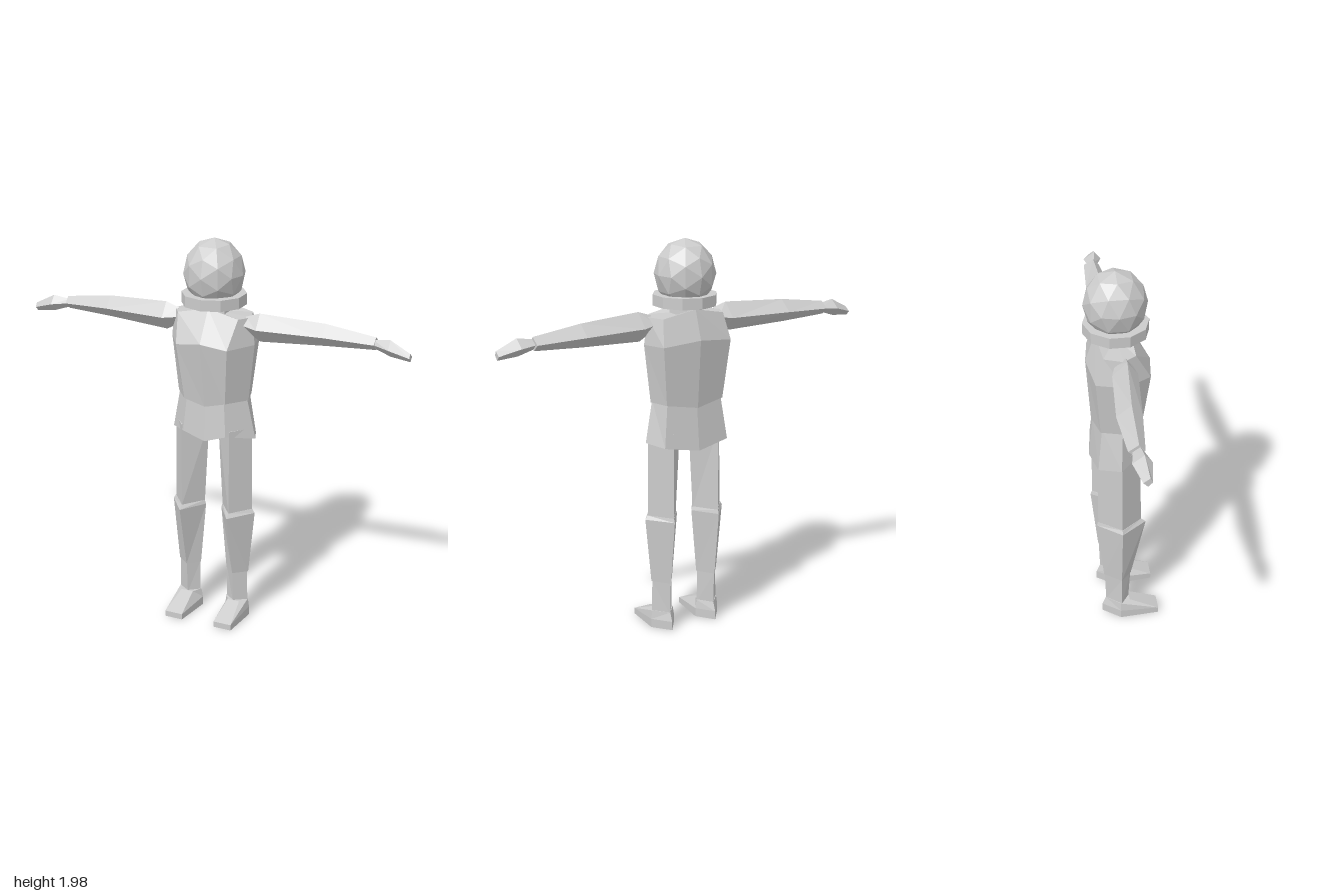
import * as THREE from 'three';

const material = new THREE.MeshStandardMaterial({ color: 0xcccccc, flatShading: true });

// Skin a list of equal-length rings and close both ends; faces always end up pointing outward.
function loft(name, rings) {
  const n = rings[0].length;
  const points = rings.flat().map((p) => new THREE.Vector3(...p));
  const tris = [];
  for (let r = 0; r < rings.length - 1; r++) {
    for (let i = 0; i < n; i++) {
      const a = r * n + i, b = r * n + (i + 1) % n;
      tris.push([a, b, b + n], [a, b + n, a + n]);
    }
  }
  [0, rings.length - 1].forEach((r, end) => {
    const centre = new THREE.Vector3();
    for (let i = 0; i < n; i++) centre.addScaledVector(points[r * n + i], 1 / n);
    const c = points.push(centre) - 1;
    for (let i = 0; i < n; i++) {
      const a = r * n + i, b = r * n + (i + 1) % n;
      tris.push(end ? [a, b, c] : [b, a, c]);
    }
  });
  // The signed volume tells whether the winding is inside out
  const cross = new THREE.Vector3();
  const volume = tris.reduce((sum, [a, b, c]) =>
    sum + points[a].dot(cross.crossVectors(points[b], points[c])), 0);
  const order = volume < 0 ? tris.map(([a, b, c]) => [a, c, b]) : tris;
  const geometry = new THREE.BufferGeometry().setFromPoints(order.flat().map((i) => points[i]));
  geometry.computeVertexNormals();
  const mesh = new THREE.Mesh(geometry, material);
  mesh.name = name;
  return mesh;
}

// Torso ring from front centre, front corner, side, back corner and back centre, mirrored in x
function bodyRing(front, frontCorner, side, backCorner, back) {
  const half = [frontCorner, side, backCorner];
  const mirrored = half.map(([x, y, z]) => [-x, y, z]).reverse();
  return [front, ...half, back, ...mirrored];
}

// Four-sided leg ring: x range, height, z range
function legRing(s, y, inner, outer, front, back) {
  const mid = 0.13, z = -0.015;
  return [[s * mid, y, front], [s * outer, y, z], [s * mid, y, back], [s * inner, y, z]];
}

// Four-sided arm ring: distance out, y range, z range
function armRing(s, x, top, bottom, front, back) {
  const y = (top + bottom) / 2, z = (front + back) / 2;
  return [[s * x, top, z + 0.01], [s * x, y, front], [s * x, bottom, z], [s * x, y, back]];
}

export function createModel() {
  const model = new THREE.Group();
  model.name = 'figure';

  // Head, collar and neck
  const head = new THREE.Mesh(new THREE.IcosahedronGeometry(1, 1), material);
  head.name = 'head';
  head.scale.set(0.15, 0.17, 0.155);
  head.position.set(0, 1.807, -0.022);
  model.add(head);

  const collar = new THREE.Mesh(new THREE.CylinderGeometry(0.16, 0.16, 0.055, 10), material);
  collar.name = 'collar';
  collar.position.set(0, 1.682, -0.02);
  model.add(collar);

  const neck = new THREE.Mesh(new THREE.CylinderGeometry(0.07, 0.085, 0.09, 6), material);
  neck.name = 'neck';
  neck.position.set(0, 1.635, -0.03);
  model.add(neck);

  // Chest and jacket skirt
  model.add(loft('chest', [
    bodyRing([0, 1.645, 0.05], [0.16, 1.61, 0.055], [0.205, 1.61, -0.01], [0.17, 1.61, -0.1], [0, 1.645, -0.12]),
    bodyRing([0, 1.49, 0.145], [0.135, 1.47, 0.13], [0.222, 1.475, -0.005], [0.19, 1.48, -0.14], [0, 1.5, -0.168]),
    bodyRing([0, 1.155, 0.09], [0.11, 1.185, 0.093], [0.19, 1.185, -0.01], [0.16, 1.185, -0.115], [0, 1.16, -0.143]),
  ]));
  model.add(loft('hips', [
    bodyRing([0, 1.165, 0.08], [0.1, 1.195, 0.083], [0.182, 1.195, -0.01], [0.153, 1.195, -0.108], [0, 1.17, -0.135]),
    bodyRing([0, 0.975, 0.095], [0.115, 1.015, 0.098], [0.225, 0.985, -0.02], [0.18, 0.975, -0.13], [0, 0.945, -0.157]),
  ]));

  for (const [side, s] of [['left', 1], ['right', -1]]) {
    // Leg: thigh, then calf flaring out at the knee, ankle and foot
    const leg = new THREE.Group();
    leg.name = side + 'Leg';
    leg.add(loft(side + 'Thigh', [
      legRing(s, 1.04, 0.025, 0.208, 0.085, -0.13),
      legRing(s, 0.6, 0.05, 0.213, 0.09, -0.128),
    ]));
    leg.add(loft(side + 'Calf', [
      legRing(s, 0.605, 0.05, 0.215, 0.09, -0.13),
      legRing(s, 0.585, 0.043, 0.228, 0.115, -0.137),
      legRing(s, 0.25, 0.073, 0.195, 0.04, -0.1),
    ]));
    leg.add(loft(side + 'Ankle', [
      legRing(s, 0.25, 0.077, 0.19, 0.037, -0.097),
      legRing(s, 0.08, 0.077, 0.192, 0.027, -0.09),
    ]));
    const sole = [[0.185, 0.18], [0.2, -0.02], [0.13, -0.11], [0.065, -0.02], [0.09, 0.18]];
    const instep = [[0.165, 0.03], [0.193, -0.02], [0.13, -0.092], [0.073, -0.02], [0.1, 0.03]];
    const upperY = [0.03, 0.045, 0.045, 0.045, 0.03];
    leg.add(loft(side + 'Foot', [
      sole.map(([x, z]) => [s * x, 0, z]),
      sole.map(([x, z], i) => [s * x, upperY[i], z]),
      instep.map(([x, z]) => [s * x, 0.09, z]),
    ]));
    model.add(leg);

    // Arm: tapered sleeve and a pointed hand
    const arm = new THREE.Group();
    arm.name = side + 'Arm';
    arm.add(loft(side + 'Sleeve', [
      armRing(s, 0.18, 1.615, 1.535, 0.035, -0.05),
      armRing(s, 0.25, 1.638, 1.495, 0.052, -0.07),
      armRing(s, 0.575, 1.622, 1.51, 0.025, -0.095),
      armRing(s, 0.825, 1.588, 1.523, 0.0, -0.077),
    ]));
    arm.add(loft(side + 'Hand', [
      armRing(s, 0.815, 1.575, 1.533, -0.012, -0.055),
      armRing(s, 0.9, 1.588, 1.505, 0.02, -0.07),
      armRing(s, 1.0, 1.538, 1.495, 0.006, -0.037),
    ]));
    model.add(arm);
  }
  return model;
}
